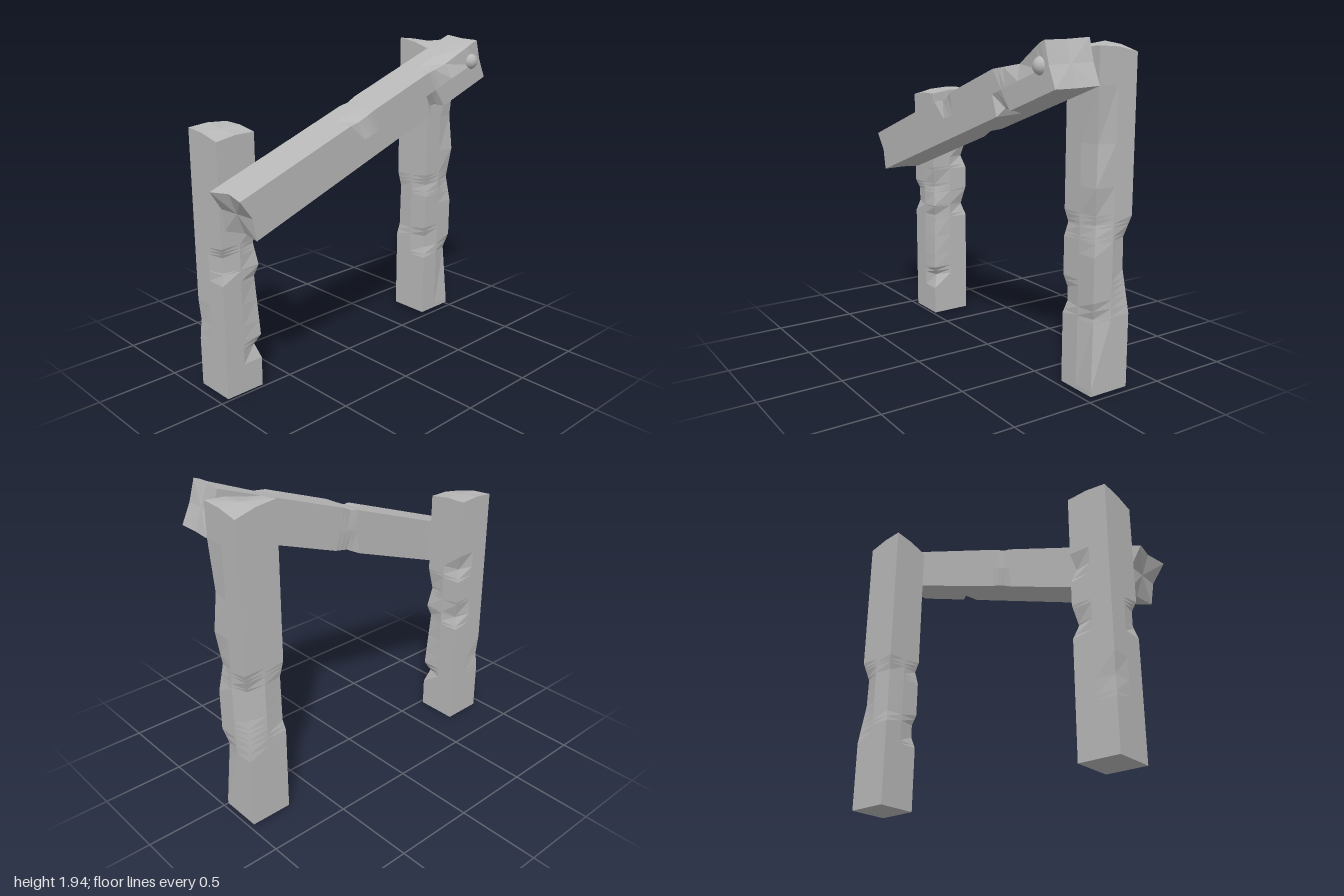
import * as THREE from 'three';

const stone = new THREE.MeshStandardMaterial({ color: 0xb8b8b8 });
stone.name = 'grey timber';
stone.flatShading = true;

// Corner order used throughout: (+x,+z), (+x,-z), (-x,-z), (-x,+z)
const SIGNS = [[1, 1], [1, -1], [-1, -1], [-1, 1]];

// Linear lookup in a list of [height, inset] pairs, zero outside it
function insetAt(keys, y) {
  for (let i = 0; i + 1 < keys.length; i++) {
    const [y0, d0] = keys[i], [y1, d1] = keys[i + 1];
    if (y >= y0 && y <= y1) return d0 + (d1 - d0) * (y - y0) / (y1 - y0);
  }
  return 0;
}

// Rough-hewn square timber along y: each corner has its own end heights and dents.
// The bulge values lift the middles of the end edges; crown lifts the cap centres.
function timber(name, w, d, bottom, top, dents, bulge = [0, 0]) {
  const heights = [...new Set(dents.flat().map(k => k[0]))].sort((a, b) => a - b);
  const rings = [bottom, ...heights.map(h => [h, h, h, h]), top];
  const pos = [], index = [];
  rings.forEach((ring, r) => {
    const lift = r === 0 ? bulge[0] : r === rings.length - 1 ? bulge[1] : 0;
    for (let c = 0; c < 4; c++) {
      const n = (c + 1) % 4, [sx, sz] = SIGNS[c], [nx, nz] = SIGNS[n];
      const inset = insetAt(dents[c], ring[c]);
      pos.push(sx * (w / 2 - inset), ring[c], sz * (d / 2 - inset));
      pos.push((sx + nx) * w / 4, (ring[c] + ring[n]) / 2 + lift, (sz + nz) * d / 4);
    }
  });
  for (let r = 0; r + 1 < rings.length; r++) {
    for (let j = 0; j < 8; j++) {
      const a = r * 8 + j, b = r * 8 + (j + 1) % 8;
      index.push(a, b, b + 8, a, b + 8, a + 8);
    }
  }
  // End caps as fans
  const mean = a => a.reduce((s, v) => s + v, 0) / 4;
  const last = (rings.length - 1) * 8, low = pos.length / 3, high = low + 1;
  pos.push(0, mean(bottom) + bulge[0], 0, 0, mean(top) + bulge[1], 0);
  for (let j = 0; j < 8; j++) {
    const k = (j + 1) % 8;
    index.push(low, k, j, high, last + j, last + k);
  }
  const geo = new THREE.BufferGeometry();
  geo.setAttribute('position', new THREE.Float32BufferAttribute(pos, 3));
  geo.setIndex(index);
  geo.computeVertexNormals();
  const mesh = new THREE.Mesh(geo, stone);
  mesh.name = name;
  return mesh;
}

export function createModel() {
  const model = new THREE.Group();
  model.name = 'timberBarrier';

  // Short post
  const shortPost = timber('shortPost', 0.25, 0.255, [0, 0, 0, 0], [1.54, 1.56, 1.56, 1.52], [
    [[0.18, 0], [0.27, 0.03], [0.33, 0], [0.7, 0.02], [0.77, 0], [0.9, 0.02], [1.04, 0]],
    [[0.68, 0], [0.76, 0.025], [0.88, 0], [1.02, 0], [1.1, 0.025], [1.2, 0]],
    [[0.3, 0], [0.42, 0.008], [0.55, 0]],
    [[0.7, 0], [0.77, 0.02], [0.86, 0.02], [0.92, 0]],
  ], [0, 0.01]);
  shortPost.position.set(-0.817, 0, -0.147);

  // Tall post
  const tallPost = timber('tallPost', 0.255, 0.255, [0.02, 0.02, 0.02, 0.02], [1.9, 1.865, 1.915, 1.86], [
    [[0.05, 0], [0.45, 0.025], [0.55, 0], [0.8, 0], [0.97, 0.022], [1.17, 0], [1.4, 0.016], [1.7, 0]],
    [[0.45, 0], [0.7, 0.028], [0.88, 0.03], [1.0, 0]],
    [[0.55, 0], [0.62, 0.012], [0.9, 0.015], [1.0, 0]],
    [[0.43, 0], [0.5, 0.018], [0.58, 0.018], [0.65, 0], [0.87, 0], [0.95, 0.015], [1.02, 0]],
  ], [0, 0.01]);
  tallPost.position.set(0.855, 0, -0.147);

  // Sloping beam: local +y runs up its length, local -x is its upper side
  const beam = timber('slopingBeam', 0.255, 0.262, [0.02, 0, 0, 0.005], [1.99, 2.018, 2.018, 1.985], [
    [[1.45, 0], [1.5, 0.035], [1.54, 0.03], [1.58, 0]],
    [[0.9, 0], [1.0, 0.012], [1.1, 0]],
    [[1.0, 0], [1.06, 0.006], [1.12, 0]],
    [[0.83, 0], [0.9, 0.018], [0.97, 0.012], [1.02, 0], [1.5, 0], [1.7, 0.035], [1.9, 0.006], [1.95, 0]],
  ], [0.03, -0.01]);
  beam.position.set(-0.955, 1.14, 0.112);
  beam.rotation.z = -THREE.MathUtils.degToRad(70.3);

  // Round bolt head
  const boltMaterial = new THREE.MeshStandardMaterial({ color: 0xb8b8b8 });
  boltMaterial.name = 'grey bolt';
  const bolt = new THREE.Mesh(new THREE.SphereGeometry(0.05, 24, 16), boltMaterial);
  bolt.name = 'boltHead';
  bolt.position.set(0.83, 1.8, 0.226);

  model.add(shortPost, tallPost, beam, bolt);
  return model;
}
